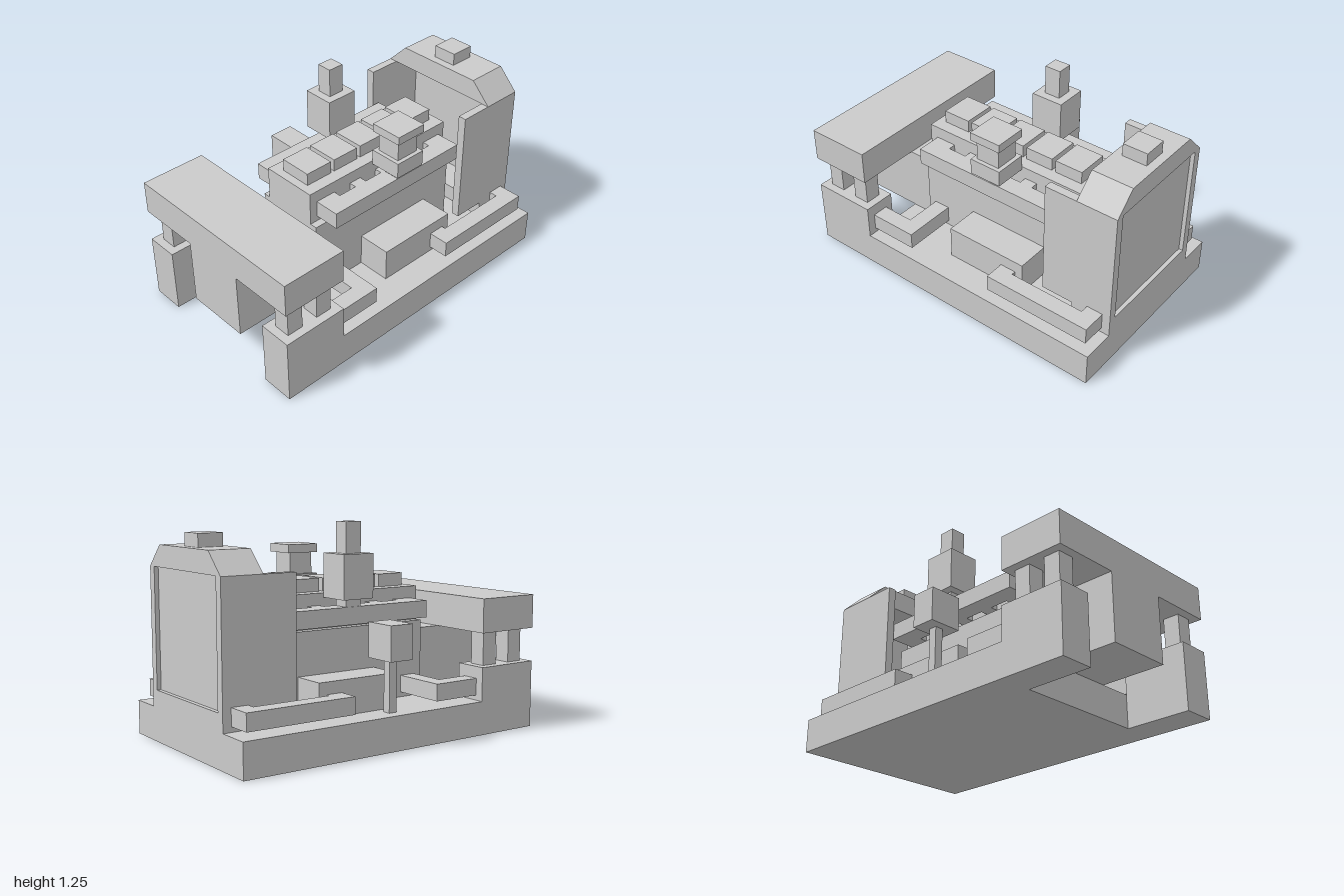
import * as THREE from 'three';

const material = new THREE.MeshStandardMaterial({ color: 0xcccccc, flatShading: true });

export function createModel() {
  const model = new THREE.Group();

  // Box given by its minimum and maximum along each axis
  function box(name, [x0, x1], [y0, y1], [z0, z1], parent = model) {
    const mesh = new THREE.Mesh(new THREE.BoxGeometry(x1 - x0, y1 - y0, z1 - z0), material);
    mesh.position.set((x0 + x1) / 2, (y0 + y1) / 2, (z0 + z1) / 2);
    mesh.name = name;
    parent.add(mesh);
    return mesh;
  }

  // The same box on both sides of x = 0
  function pair(name, [x0, x1], y, z) {
    box(name + 'Left', [x0, x1], y, z);
    box(name + 'Right', [-x1, -x0], y, z);
  }

  // Flat shape in plan (x, z points) raised from y0 to y1, mirrored on both sides
  function planPair(name, points, y0, y1) {
    for (const side of [1, -1]) {
      const shape = new THREE.Shape(points.map(([x, z]) => new THREE.Vector2(side * x, -z)));
      const geometry = new THREE.ExtrudeGeometry(shape, { depth: y1 - y0, bevelEnabled: false });
      geometry.rotateX(-Math.PI / 2).translate(0, y0, 0);
      const mesh = new THREE.Mesh(geometry, material);
      mesh.name = name + (side > 0 ? 'Left' : 'Right');
      model.add(mesh);
    }
  }

  // Chassis and front arms with the cross beam on posts
  box('base', [-0.6, 0.6], [0, 0.2], [-1, 0.6]);
  pair('frontArm', [0.4, 0.6], [0, 0.4], [0.6, 1]);
  for (const z of [0.65, 0.85]) pair('beamPost', [0.45, 0.55], [0.4, 0.6], [z, z + 0.1]);
  box('frontBeam', [-0.6, 0.6], [0.6, 0.8], [0.6, 1]);

  // Engine
  box('noseBlock', [-0.2, 0.2], [0.2, 0.6], [0.45, 1]);
  box('engineBlock', [-0.22, 0.22], [0.2, 0.65], [-0.625, 0.45]);
  box('engineCover', [-0.175, 0.175], [0.65, 0.85], [-0.625, 0.45]);
  box('rearCoupling', [-0.125, 0.125], [0.35, 0.62], [-0.725, -0.625]);
  for (let i = 0; i < 5; i++) {
    const z = 0.225 - 0.2 * i;
    box('coverCap', [-0.1, 0.1], [0.85, 0.925], [z, z + 0.175]);
  }
  pair('sideBlock', [0.22, 0.425], [0.2, 0.4], [-0.425, 0.1]);

  // Side rails with notches next to the cover
  const rail = [[0.33, 0.4], [0.33, -0.58], [0.175, -0.58]];
  for (const z of [-0.39, -0.19, 0.01, 0.21]) {
    rail.push([0.175, z - 0.06], [0.22, z - 0.06], [0.22, z + 0.06], [0.175, z + 0.06]);
  }
  rail.push([0.175, 0.4]);
  planPair('sideRail', rail, 0.68, 0.78);

  // Bent pipes along the chassis
  planPair('frontPipe', [[0.22, 0.3], [0.55, 0.3], [0.55, 0.6], [0.45, 0.6], [0.45, 0.4], [0.22, 0.4]], 0.23, 0.33);
  planPair('rearPipe', [[0.4, -0.95], [0.55, -0.95], [0.55, -0.275], [0.42, -0.275],
    [0.42, -0.375], [0.45, -0.375], [0.45, -0.85], [0.4, -0.85]], 0.23, 0.33);

  // Units standing on the rails
  pair('unitStem', [0.23, 0.325], [0.78, 0.83], [-0.175, -0.075]);
  box('chimneyBox', [-0.375, -0.18], [0.825, 1.075], [-0.225, -0.025]);
  box('chimney', [-0.325, -0.23], [1.075, 1.25], [-0.175, -0.075]);
  box('filterBase', [0.175, 0.375], [0.83, 0.925], [-0.225, -0.025]);
  box('filterBody', [0.2, 0.35], [0.925, 1.05], [-0.2, -0.05]);
  box('filterCap', [0.175, 0.375], [1.05, 1.1], [-0.225, -0.025]);

  // Box on a thin post
  box('controlPost', [-0.525, -0.475], [0.2, 0.5], [-0.025, 0.025]);
  box('controlBox', [-0.6, -0.4], [0.5, 0.7], [-0.075, 0.075]);

  // Rear housing: sill, walls, recessed back panel, chamfered roof and hatch
  box('housingSill', [-0.4, 0.4], [0.2, 0.3], [-1, -0.75]);
  pair('housingWall', [0.35, 0.4], [0.3, 1], [-1, -0.55]);
  box('backPanel', [-0.35, 0.35], [0.3, 1], [-0.975, -0.94]);
  const roofShape = new THREE.Shape([[-0.4, 1], [0.4, 1], [0.275, 1.125], [-0.275, 1.125]]
    .map(([x, y]) => new THREE.Vector2(x, y)));
  const roof = new THREE.Mesh(
    new THREE.ExtrudeGeometry(roofShape, { depth: 0.25, bevelEnabled: false }), material);
  roof.position.z = -1;
  roof.name = 'housingRoof';
  model.add(roof);
  box('roofHatch', [-0.075, 0.075], [1.125, 1.2], [-0.95, -0.8]);

  return model;
}
